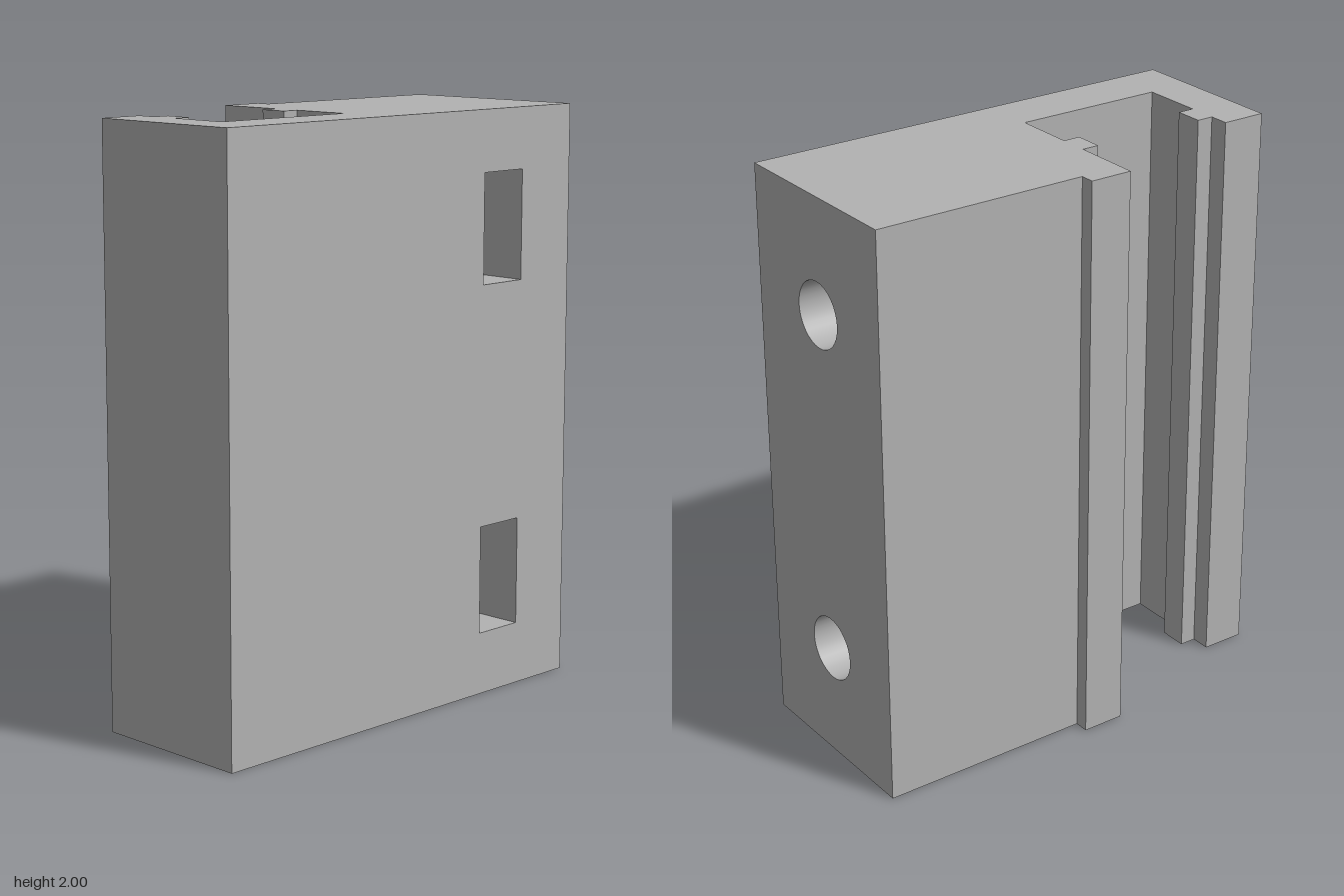
import * as THREE from 'three';
import { mergeGeometries } from 'three/addons/utils/BufferGeometryUtils.js';

const H = 2;                                 // height of the block
const BORE = { x: 0.025, r: 0.112, end: -0.12 };
const SLOT = { inner: -0.17, outer: 0.375, z0: -0.36, z1: -0.55, half: 0.187 };
const LEVELS = [0.403, 1.605];               // heights of the two bolt positions
const BACK = -0.795;

const X = [1, 0, 0], Y = [0, 1, 0], Z = [0, 0, 1];
const neg = (a) => a.map((n) => -n);

// Flat face: shape drawn along u and v from an origin, facing u x v
function face(shape, origin, u, v) {
  const U = new THREE.Vector3(...u), V = new THREE.Vector3(...v);
  const m = new THREE.Matrix4().makeBasis(U, V, U.clone().cross(V)).setPosition(...origin);
  return new THREE.ShapeGeometry(shape, 16).applyMatrix4(m);
}

function rect(x, y, w, h, Type = THREE.Shape) {
  const s = new Type();
  s.moveTo(x, y);
  s.lineTo(x + w, y);
  s.lineTo(x + w, y + h);
  s.lineTo(x, y + h);
  s.closePath();
  return s;
}

const circle = (x, y, r, Type = THREE.Path) => new Type().absarc(x, y, r, 0, Math.PI * 2, false);

// Plan outline as x, z, counter-clockwise seen from above
const outline = [
  [-0.2, 0.795], [0.375, 0.795], [0.375, BACK], [-0.325, BACK],
  [-0.325, -0.04], [-0.375, -0.04], [-0.375, 0.11], [-0.13, 0.11],
  [-0.13, 0.17], [-0.03, 0.17], [-0.03, 0.11], [0.185, 0.11],
  [0.185, 0.64], [-0.03, 0.64], [-0.03, 0.582], [-0.13, 0.582],
  [-0.13, 0.64], [-0.2, 0.64],
];

// Outer skin of the clamp: walls, top and bottom
function bodyGeometry() {
  const parts = outline.map(([ax, az], i) => {
    const [bx, bz] = outline[(i + 1) % outline.length];
    const len = Math.hypot(bx - ax, bz - az);
    const wall = rect(0, 0, len, H);
    for (const y of LEVELS) {
      if (i === 1) wall.holes.push(rect(az - SLOT.z0, y - SLOT.half, SLOT.z0 - SLOT.z1, SLOT.half * 2, THREE.Path));
      if (i === 2) wall.holes.push(circle(ax - BORE.x, y, BORE.r));
    }
    return face(wall, [ax, 0, az], [(bx - ax) / len, 0, (bz - az) / len], Y);
  });
  const plan = (sign) => new THREE.Shape(outline.map(([x, z]) => new THREE.Vector2(x, z * sign)));
  parts.push(face(plan(-1), [0, H, 0], X, neg(Z)), face(plan(1), [0, 0, 0], X, Z));
  return mergeGeometries(parts);
}

// Rectangular nut slot, open to the side and pierced by the bore
function slotGeometry(y) {
  const { inner, outer, z0, z1, half } = SLOT;
  const w = outer - inner, d = z0 - z1, h = half * 2;
  const near = rect(0, 0, w, h), far = rect(0, 0, w, h);
  near.holes.push(circle(outer - BORE.x, half, BORE.r));
  far.holes.push(circle(BORE.x - inner, half, BORE.r));
  return mergeGeometries([
    face(rect(0, 0, w, d), [inner, y - half, z0], X, neg(Z)),
    face(rect(0, 0, w, d), [inner, y + half, z1], X, Z),
    face(rect(0, 0, d, h), [inner, y - half, z0], neg(Z), Y),
    face(far, [inner, y - half, z1], X, Y),
    face(near, [outer, y - half, z0], neg(X), Y),
  ]);
}

// Round bolt bore on both sides of the slot, with a flat end
function boreGeometry(y) {
  const tube = (a, b) => new THREE.CylinderGeometry(BORE.r, BORE.r, b - a, 32, 1, true)
    .rotateX(Math.PI / 2).translate(BORE.x, y, (a + b) / 2);
  const end = face(circle(0, 0, BORE.r, THREE.Shape), [BORE.x, y, BORE.end], neg(X), Y);
  return mergeGeometries([tube(BACK, SLOT.z1), tube(SLOT.z0, BORE.end), end]);
}

export function createModel() {
  const group = new THREE.Group();
  group.name = 'railClamp';
  const grey = new THREE.MeshStandardMaterial({ color: 0xb2b2b2, side: THREE.DoubleSide });
  grey.name = 'grey';
  const add = (name, geometry) => {
    const mesh = new THREE.Mesh(geometry, grey);
    mesh.name = name;
    group.add(mesh);
  };

  add('clampBody', bodyGeometry());
  LEVELS.forEach((y, i) => {
    const level = ['lower', 'upper'][i];
    add(level + 'NutSlot', slotGeometry(y));
    add(level + 'BoltBore', boreGeometry(y));
  });
  return group;
}
